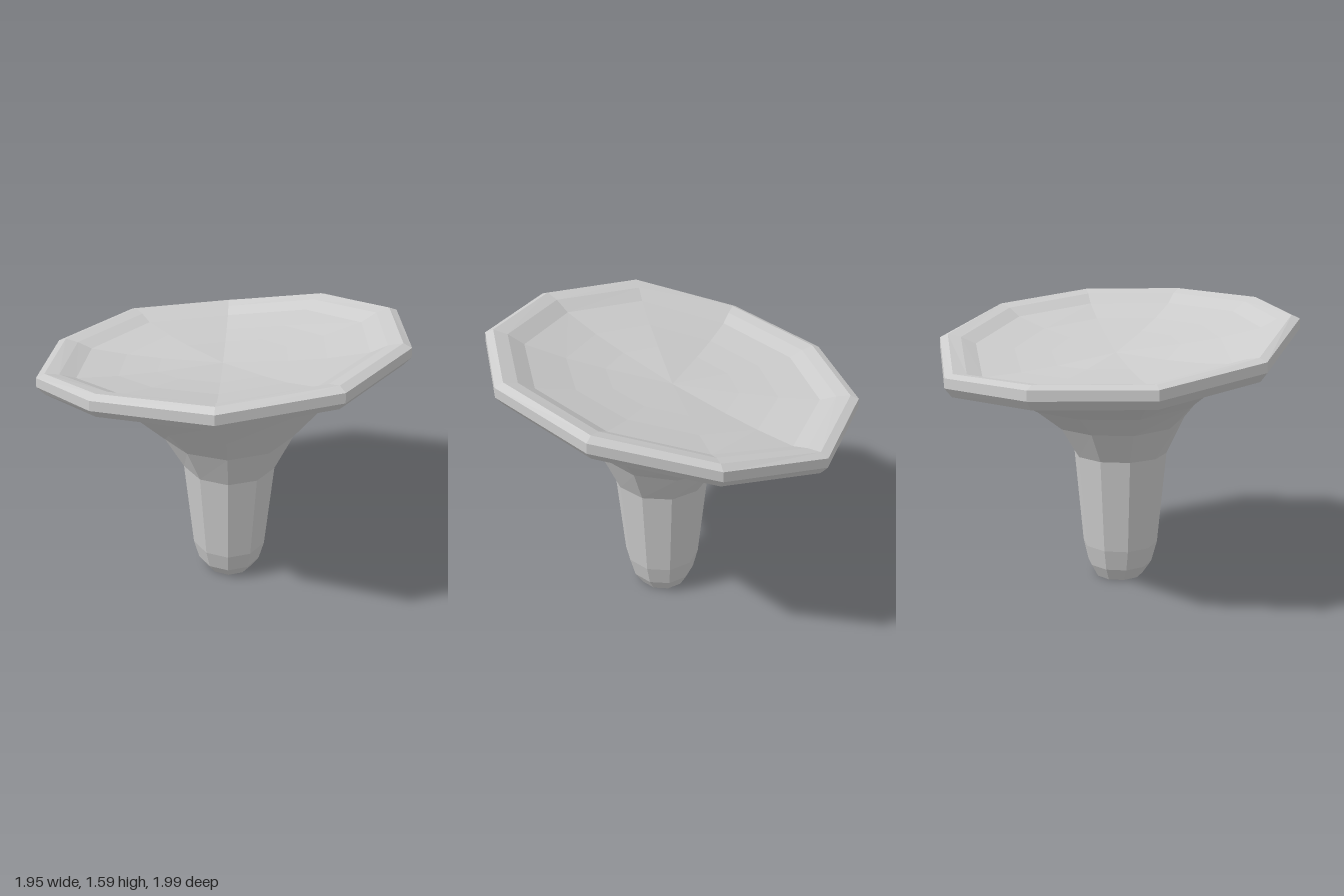
import * as THREE from 'three';

const SIDES = 10;
const START = THREE.MathUtils.degToRad(-12.5);
// Height of the tilted, wavy cap edge at each corner, relative to its mean
const EDGE = [1.5, 1.565, 1.575, 1.555, 1.51, 1.36, 1.28, 1.265, 1.25, 1.38];
const MEAN = EDGE.reduce((sum, h) => sum + h, 0) / SIDES;

// Each ring is [radius, mean height, share of the edge tilt, centre x, centre z]
function loft(name, rings, material) {
  const positions = [];
  const point = ([r, y, tilt, cx = 0, cz = 0], k) => {
    const i = k % SIDES;
    const angle = START + (i / SIDES) * Math.PI * 2;
    return [cx + r * Math.cos(angle), y + tilt * (EDGE[i] - MEAN), cz + r * Math.sin(angle)];
  };
  for (let i = 0; i < rings.length - 1; i++) {
    const [lower, upper] = [rings[i], rings[i + 1]];
    for (let k = 0; k < SIDES; k++) {
      const a = point(lower, k), b = point(lower, k + 1);
      const c = point(upper, k), d = point(upper, k + 1);
      if (lower[0] > 0) positions.push(...a, ...c, ...b);
      if (upper[0] > 0) positions.push(...b, ...c, ...d);
    }
  }
  const geometry = new THREE.BufferGeometry();
  geometry.setAttribute('position', new THREE.Float32BufferAttribute(positions, 3));
  geometry.computeVertexNormals();
  const mesh = new THREE.Mesh(geometry, material);
  mesh.name = name;
  return mesh;
}

export function createModel() {
  const group = new THREE.Group();
  group.name = 'mushroom';
  const material = new THREE.MeshStandardMaterial({ color: 0xcccccc, flatShading: true });

  // Tapered stem with a rounded foot
  const stemTop = [0.265, 0.73, 0, 0.034, 0.055];
  group.add(loft('stem', [
    [0, 0, 0, 0.035, 0.047],
    [0.14, 0, 0, 0.035, 0.047],
    [0.186, 0.075, 0, 0.034, 0.052],
    [0.216, 0.195, 0, 0.034, 0.055],
    stemTop,
  ], material));

  // Flaring underside of the cap, leaning with the edge
  const funnelTop = [0.79, 1.335, 0.88];
  group.add(loft('capUnderside', [
    stemTop,
    [0.367, 0.93, 0.17, 0.034, 0.052],
    [0.51, 1.085, 0.42, 0.034, 0.05],
    [0.665, 1.225, 0.75, 0.025, 0.04],
    funnelTop,
  ], material));

  // Bevelled rim with a shallow recess beneath
  const rimTop = [0.95, MEAN + 0.018, 1];
  group.add(loft('capRim', [
    funnelTop,
    [0.87, 1.35, 1],
    [0.96, MEAN - 0.1, 1],
    [0.998, MEAN - 0.052, 1],
    [0.995, MEAN, 1],
    rimTop,
  ], material));

  // Dished top
  group.add(loft('capTop', [
    rimTop,
    [0.875, 1.425, 0.95],
    [0.79, 1.385, 0.85],
    [0.57, 1.35, 0.6],
    [0.36, 1.33, 0.38],
    [0, 1.31, 0],
  ], material));

  return group;
}
